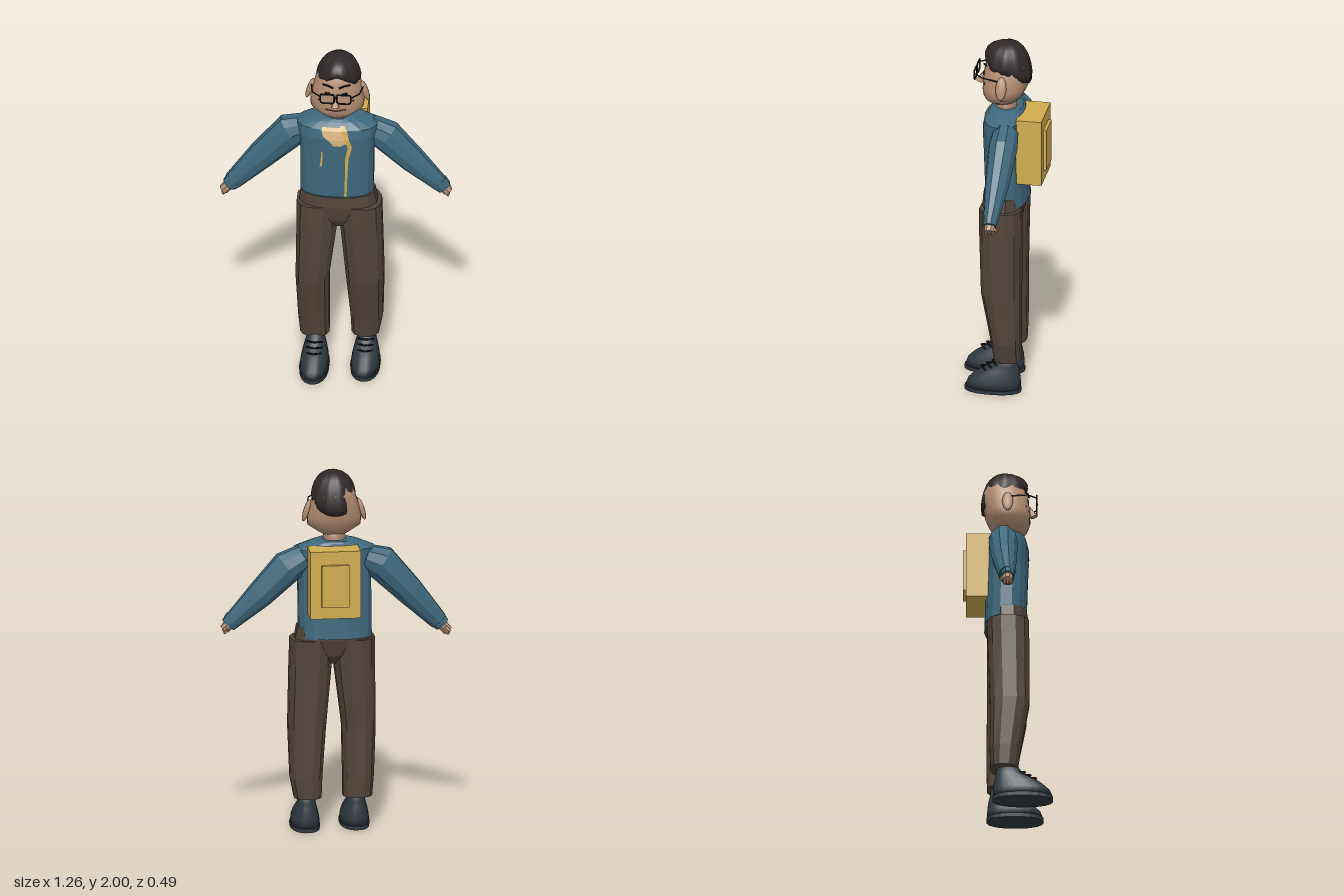
import * as THREE from 'three';
import { mergeVertices } from 'three/addons/utils/BufferGeometryUtils.js';

const mat = (name, color) => {
  const m = new THREE.MeshStandardMaterial({ color });
  m.name = name;
  return m;
};

// Surface through rows of points, optionally closed round and capped
function surface(rows, { closed = true, smooth = false } = {}) {
  const n = rows[0].length, pts = rows.flat(), idx = [];
  for (let i = 0; i < rows.length - 1; i++) {
    for (let j = 0; j < (closed ? n : n - 1); j++) {
      const k = (j + 1) % n;
      const a = i * n + j, b = i * n + k, c = a + n, d = b + n;
      idx.push(a, c, b, b, c, d);
    }
  }
  if (closed) {
    [0, rows.length - 1].forEach((r, top) => {
      const mid = [0, 1, 2].map(k => rows[r].reduce((s, p) => s + p[k], 0) / n);
      const m = pts.push(mid) - 1;
      for (let j = 0; j < n; j++) {
        const a = r * n + j, b = r * n + (j + 1) % n;
        idx.push(m, top ? b : a, top ? a : b);
      }
    });
  }
  let g = new THREE.BufferGeometry();
  g.setAttribute('position', new THREE.Float32BufferAttribute(pts.flat(), 3));
  g.setIndex(idx);
  g = smooth ? mergeVertices(g) : g.toNonIndexed();
  g.computeVertexNormals();
  return g;
}

const power = (v, p) => Math.sign(v) * Math.abs(v) ** p;

// Horizontal cross-sections: [y, xMin, xMax, zBack, zFront]
function loft(rings, sides, p = 0.8, smooth = false) {
  return surface(rings.map(([y, x0, x1, z0, z1]) => Array.from({ length: sides }, (_, j) => {
    const t = ((j + 0.5) / sides) * Math.PI * 2;
    return [(x0 + x1) / 2 + (x1 - x0) / 2 * power(Math.cos(t), p), y,
      (z0 + z1) / 2 + (z1 - z0) / 2 * power(Math.sin(t), p)];
  })), { smooth });
}

// Tapered limb along a path in the xy plane: [x, y, z, radius, zRadius]
function limb(path, sides) {
  return surface(path.map(([x, y, z, r, rz], i) => {
    const a = path[Math.max(0, i - 1)], b = path[Math.min(path.length - 1, i + 1)];
    const ang = Math.atan2(a[0] - b[0], b[1] - a[1]);
    return Array.from({ length: sides }, (_, j) => {
      const t = ((j + 0.5) / sides) * Math.PI * 2, u = r * Math.cos(t);
      return [x + u * Math.cos(ang), y + u * Math.sin(ang), z + rz * Math.sin(t)];
    });
  }));
}

// Front depth of a lofted shape at x, y
function frontZ(rings, x, y, p = 0.8) {
  let i = 0;
  while (i < rings.length - 2 && rings[i + 1][0] < y) i++;
  const t = (y - rings[i][0]) / (rings[i + 1][0] - rings[i][0]);
  const [, x0, x1, z0, z1] = rings[i].map((v, k) => v + (rings[i + 1][k] - v) * t);
  const c = Math.min(1, Math.abs((x - (x0 + x1) / 2) / ((x1 - x0) / 2)));
  return (z0 + z1) / 2 + (z1 - z0) / 2 * (1 - c ** (2 / p)) ** (p / 2);
}

const TORSO = [[1.08, -0.185, 0.21, -0.133, 0.09], [1.14, -0.188, 0.213, -0.13, 0.1],
  [1.4, -0.187, 0.216, -0.122, 0.108], [1.52, -0.2, 0.228, -0.12, 0.112],
  [1.575, -0.205, 0.235, -0.118, 0.1], [1.61, -0.12, 0.14, -0.108, 0.075], [1.62, -0.08, 0.11, -0.1, 0.06]];
const HEAD = [[1.645, -0.045, 0.075, -0.05, 0.07], [1.662, -0.075, 0.105, -0.075, 0.1],
  [1.7, -0.13, 0.16, -0.105, 0.114], [1.75, -0.132, 0.162, -0.128, 0.117], [1.82, -0.115, 0.145, -0.138, 0.112],
  [1.88, -0.098, 0.128, -0.138, 0.1], [1.93, -0.075, 0.105, -0.115, 0.075], [1.96, -0.04, 0.07, -0.07, 0.03]];

export function createModel() {
  const root = new THREE.Group();
  const skin = mat('skin', 0xb48d71), hairMat = mat('hair', 0x302828), shirt = mat('shirt', 0x3e687d);
  const cloth = mat('trousers', 0x51443b), shoeMat = mat('shoe', 0x303940), yellow = mat('yellow', 0xd0ad50);
  const black = mat('black', 0x151517), pale = mat('pale patch', 0xd8b581), lip = mat('lip', 0x6d473a);
  const add = (name, g, m, parent = root) => {
    const mesh = new THREE.Mesh(g, m);
    mesh.name = name;
    parent.add(mesh);
    return mesh;
  };
  const box = (name, m, w, h, d, x, y, z) => {
    const b = add(name, new THREE.BoxGeometry(w, h, d), m);
    b.position.set(x, y, z);
    return b;
  };
  const wire = (name, pts, r, m, closed = false) => add(name, new THREE.TubeGeometry(
    new THREE.CatmullRomCurve3(pts.map(p => new THREE.Vector3(...p)), closed, 'catmullrom', 0.1), 24, r, 5, closed), m);

  // Torso with painted chest details
  add('torso', loft(TORSO, 16), shirt);
  const ribbon = (name, rows, m) => add(name, surface(rows.map(([y, x0, x1]) => [0, 1, 2, 3].map(k => {
    const x = x0 + (x1 - x0) * k / 3;
    return [x, y, frontZ(TORSO, x, y) + 0.004];
  })), { closed: false }), m);
  ribbon('chestPatch', [[1.59, -0.06, 0.06], [1.572, -0.064, 0.07], [1.54, -0.055, 0.072], [1.52, -0.03, 0.078],
    [1.5, -0.01, 0.07], [1.482, 0, 0.04]], pale);
  ribbon('longStripe', [[1.6, 0.035, 0.06], [1.575, 0.045, 0.075], [1.52, 0.062, 0.088], [1.475, 0.08, 0.103],
    [1.4, 0.066, 0.085], [1.3, 0.065, 0.078], [1.15, 0.06, 0.073]], yellow);
  ribbon('shortStripe', [[1.44, -0.064, -0.056], [1.38, -0.068, -0.058], [1.34, -0.074, -0.062]], yellow);

  // Sleeves, cuffs and hands
  const arms = [
    ['right', [[-0.15, 1.52, -0.03, 0.07, 0.07], [-0.235, 1.485, -0.03, 0.098, 0.08],
      [-0.395, 1.316, -0.025, 0.08, 0.068], [-0.555, 1.14, -0.012, 0.052, 0.044]], [-0.575, 1.118], [-0.605, 1.083], -0.008],
    ['left', [[0.18, 1.53, -0.035, 0.07, 0.07], [0.272, 1.475, -0.037, 0.092, 0.08],
      [0.425, 1.318, -0.032, 0.075, 0.066], [0.575, 1.175, -0.025, 0.047, 0.04]], [0.595, 1.155], [0.615, 1.13], -0.025]];
  for (const [side, path, wrist, tip, z] of arms) {
    const s = side === 'left' ? 1 : -1;
    add(side + 'Sleeve', limb(path, 10), shirt);
    const end = path[3];
    add(side + 'Cuff', limb([[end[0] - s * 0.012, end[1] + 0.014, z, 0.052, 0.042], [...wrist, z, 0.043, 0.036]], 10), shirt);
    add(side + 'Palm', limb([[...wrist, z, 0.03, 0.03], [...tip, z, 0.028, 0.028]], 8), skin);
    for (let i = 0; i < 3; i++) {
      const fz = z - 0.018 + i * 0.018;
      add(side + 'Finger', limb([[...tip, fz, 0.012, 0.009], [tip[0] - s * 0.002, tip[1] - 0.018, fz, 0.008, 0.007]], 6), skin);
    }
    add(side + 'Thumb', limb([[wrist[0] + s * 0.012, wrist[1] - 0.01, z - 0.025, 0.012, 0.012],
      [tip[0] + s * 0.008, tip[1] + 0.005, z - 0.04, 0.008, 0.008]], 6), skin);
  }

  // Trousers
  add('hips', loft([[0.93, -0.02, 0.08, -0.06, 0.07], [0.98, -0.09, 0.14, -0.1, 0.1],
    [1.07, -0.195, 0.235, -0.122, 0.112], [1.14, -0.188, 0.222, -0.122, 0.107]], 14), cloth);
  add('rightTrouserLeg', loft([[0.185, -0.19, -0.028, -0.1, 0.05], [0.3, -0.2, -0.028, -0.105, 0.068],
    [0.58, -0.212, -0.025, -0.105, 0.117], [0.93, -0.208, 0.02, -0.115, 0.115], [1.07, -0.207, 0.02, -0.12, 0.113]], 12), cloth);
  add('leftTrouserLeg', loft([[0.185, 0.088, 0.24, -0.118, 0.03], [0.3, 0.083, 0.262, -0.12, 0.045],
    [0.58, 0.06, 0.27, -0.12, 0.1], [0.93, 0.028, 0.262, -0.118, 0.113], [1.07, 0.03, 0.257, -0.12, 0.113]], 12), cloth);

  // Shoes with soles and laces
  for (const [side, cx, z0, z1] of [['right', -0.104, -0.09, 0.243], ['left', 0.17, -0.12, 0.192]]) {
    const ring = (y, w, back, front) => [y, cx - w, cx + w, z0 + back, z1 - front];
    add(side + 'Sole', loft([ring(0, 0.08, 0, 0), ring(0.022, 0.082, 0, 0)], 20, 0.9), shoeMat);
    add(side + 'Shoe', loft([ring(0.022, 0.079, 0.004, 0.004), ring(0.06, 0.076, 0.004, 0.018),
      ring(0.1, 0.067, 0.008, 0.06), ring(0.13, 0.058, 0.014, 0.11), ring(0.155, 0.05, 0.02, 0.16),
      ring(0.2, 0.045, 0.024, 0.19)], 20, 0.9, true), shoeMat);
    for (let i = 0; i < 3; i++) {
      const y = 0.125 + i * 0.018, z = z1 - 0.092 - i * 0.03;
      wire(side + 'Lace', [[cx - 0.042, y - 0.004, z - 0.035], [cx, y + 0.012, z], [cx + 0.042, y - 0.004, z - 0.035]], 0.005, black);
    }
  }

  // Backpack
  box('backpack', yellow, 0.275, 0.375, 0.14, 0.033, 1.412, -0.16);
  box('backpackPocket', yellow, 0.15, 0.235, 0.024, 0.034, 1.408, -0.235);

  // Neck, head, ears and nose
  add('neck', loft([[1.59, -0.05, 0.08, -0.07, 0.05], [1.68, -0.043, 0.073, -0.065, 0.045]], 14, 1, true), skin);
  add('head', loft(HEAD, 28, 0.9, true), skin);
  for (const s of [-1, 1]) {
    const ear = add('ear', new THREE.SphereGeometry(1, 12, 8), skin);
    ear.scale.set(0.017, 0.064, 0.03);
    ear.position.set(0.015 + s * 0.15, 1.778, -0.006);
    ear.rotation.z = s * 0.3;
  }
  const nose = add('nose', new THREE.ConeGeometry(0.022, 0.07, 8), skin);
  nose.position.set(0.015, 1.785, 0.125);
  nose.rotation.x = -0.35;

  // Hair: grooved cap, arched over the forehead and low at the nape
  const hairRows = Array.from({ length: 9 }, (_, i) => Array.from({ length: 40 }, (_, j) => {
    const t = j / 40 * Math.PI * 2, s = Math.sin(t), f = i / 8 * Math.PI / 2;
    const edge = 1.85 + (s > 0 ? 0.07 * s ** 4 : 0.075 * s);
    const r = Math.cos(f * 0.995) ** 0.75 * (i ? 1 : 0.96) * (0.97 + 0.05 * Math.abs(Math.cos(t * 5)));
    return [0.021 + 0.121 * r * Math.cos(t), edge + (2 - edge) * Math.sin(f), -0.022 + 0.13 * r * s];
  }));
  add('hair', surface(hairRows, { smooth: true }), hairMat);

  // Face and glasses
  const onFace = (x, y, d = 0.002) => [x, y, frontZ(HEAD, x, y, 0.9) + d];
  wire('mouth', [onFace(-0.04, 1.722), onFace(0.015, 1.715), onFace(0.07, 1.726)], 0.0035, lip);
  for (const s of [-1, 1]) {
    const x = 0.017 + s * 0.045;
    wire('eyebrow', [onFace(x - 0.03, 1.866 - s * 0.004, 0.008), onFace(x, 1.872, 0.008),
      onFace(x + 0.03, 1.866 + s * 0.004, 0.008)], 0.005, black);
    box('eye', black, 0.03, 0.012, 0.008, ...onFace(x, 1.822, 0));
    box('cheek', lip, 0.026, 0.007, 0.004, ...onFace(0.015 + s * 0.085, 1.775, 0));
    wire('lensFrame', [[-0.037, 1.845], [0.037, 1.845], [0.037, 1.8], [0.026, 1.79], [-0.026, 1.79], [-0.037, 1.8]]
      .map(([a, b]) => [x + a, b, 0.152]), 0.005, black, true);
    wire('templeArm', [[x + s * 0.037, 1.83, 0.152], [0.015 + s * 0.128, 1.825, 0.1], [0.015 + s * 0.14, 1.815, 0.015]], 0.004, black);
  }
  wire('bridge', [[0.005, 1.825, 0.152], [0.017, 1.83, 0.157], [0.029, 1.825, 0.152]], 0.004, black);
  return root;
}
